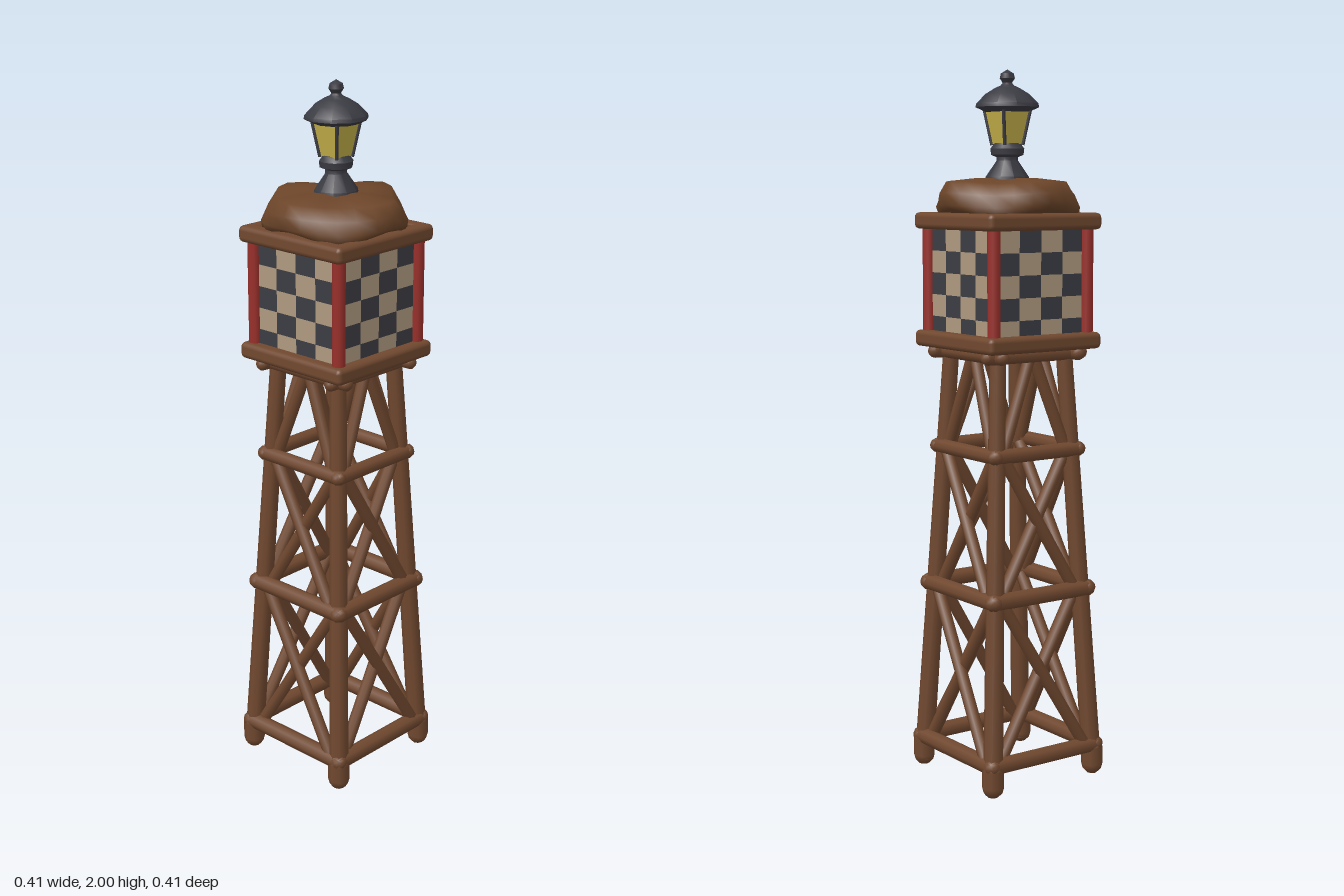
import * as THREE from 'three';
import { mergeVertices, toCreasedNormals } from 'three/addons/utils/BufferGeometryUtils.js';
import { RoundedBoxGeometry } from 'three/addons/geometries/RoundedBoxGeometry.js';

function material(name, color) {
  const m = new THREE.MeshStandardMaterial({ color });
  m.name = name;
  return m;
}

export function createModel() {
  const wood = material('timber brown', 0x70482f);
  const roofBrown = material('roof brown', 0x6c4529);
  const red = material('post red', 0x9a302b);
  const cream = material('checker cream', 0xb09a80);
  const dark = material('checker dark', 0x3c3d44);
  const iron = material('lamp iron', 0x3b3b43);
  const glass = material('lamp glass', 0xc4b04a);

  const tower = new THREE.Group();
  tower.name = 'lanternTower';

  function add(parent, name, geometry, mat, x = 0, y = 0, z = 0) {
    const mesh = new THREE.Mesh(geometry, mat);
    mesh.name = name;
    mesh.position.set(x, y, z);
    parent.add(mesh);
    return mesh;
  }

  // Round pole between two points, with optional taper
  function pole(parent, name, a, b, r0, r1, mat) {
    const from = new THREE.Vector3(...a), to = new THREE.Vector3(...b);
    const dir = to.clone().sub(from);
    const mesh = add(parent, name, new THREE.CylinderGeometry(r1, r0, dir.length(), 8), mat);
    mesh.position.copy(from).add(to).multiplyScalar(0.5);
    mesh.quaternion.setFromUnitVectors(new THREE.Vector3(0, 1, 0), dir.normalize());
    return mesh;
  }

  // Log with rounded ends lying along x
  function log(parent, name, half, r, y, z) {
    const mesh = add(parent, name, new THREE.CapsuleGeometry(r, 2 * half - 2 * r, 3, 8), wood, 0, y, z);
    mesh.rotation.z = Math.PI / 2;
  }

  // Turned part, faceted around and creased at sharp edges
  function turned(parent, name, profile, mat, sides = 10) {
    const points = profile.map(p => new THREE.Vector2(...p));
    return add(parent, name, toCreasedNormals(new THREE.LatheGeometry(points, sides), 0.7), mat);
  }

  const legOffset = y => 0.176 - 0.051 * y;

  // One side of the tower, repeated four times round the axis
  for (let i = 0; i < 4; i++) {
    const side = new THREE.Group();
    side.name = ['front', 'left', 'back', 'right'][i] + 'Side';
    side.rotation.y = i * Math.PI / 2;
    tower.add(side);

    // Corner leg and foot
    const b = legOffset(0.02), t = legOffset(1.25);
    pole(side, 'leg', [b, 0.02, b], [t, 1.25, t], 0.028, 0.023, wood);
    add(side, 'foot', new THREE.CapsuleGeometry(0.031, 0.05, 3, 8), wood, 0.175, 0.056, 0.175);

    // Horizontal logs
    log(side, 'lowerRail', 0.205, 0.024, 0.09, 0.18);
    log(side, 'middleRail', 0.188, 0.024, 0.55, 0.162);
    log(side, 'upperRail', 0.165, 0.021, 0.95, 0.142);
    log(side, 'platformJoist', 0.178, 0.02, 1.222, 0.13);

    // Crossed braces, then an inverted V at the top
    for (const [y0, y1] of [[0.1, 0.54], [0.56, 0.94]]) {
      const x0 = legOffset(y0) - 0.03, x1 = legOffset(y1) - 0.02;
      for (const s of [-1, 1]) {
        const off = s * 0.006;
        pole(side, 'crossBrace', [s * x0, y0, legOffset(y0) + off],
          [-s * x1, y1, legOffset(y1) + off], 0.018, 0.018, wood);
      }
    }
    for (const s of [-1, 1]) {
      pole(side, 'topBrace', [s * 0.105, 0.96, legOffset(0.96)],
        [s * 0.005, 1.22, legOffset(1.22)], 0.017, 0.017, wood);
    }

    // Cabin frame beams and corner post
    add(side, 'floorBeam', new RoundedBoxGeometry(0.38, 0.046, 0.046, 2, 0.014), wood, 0, 1.257, 0.167);
    add(side, 'eaveBeam', new RoundedBoxGeometry(0.38, 0.046, 0.046, 2, 0.014), wood, 0, 1.587, 0.167);
    pole(side, 'cornerPost', [0.158, 1.25, 0.158], [0.158, 1.59, 0.158], 0.018, 0.018, red);

    // Checkered wall: one plane whose cells alternate between two materials
    const wall = new THREE.PlaneGeometry(0.29, 0.305, 4, 5);
    for (let c = 0; c < 20; c++) {
      const odd = (c % 4 + Math.floor(c / 4) + i) % 2;
      wall.addGroup(c * 6, 6, odd);
    }
    add(side, 'checkerWall', wall, [dark, cream], 0, 1.4125, 0.158);
  }

  // Cabin floor and ceiling slabs
  add(tower, 'cabinFloor', new THREE.BoxGeometry(0.33, 0.03, 0.33), wood, 0, 1.255, 0);
  add(tower, 'ceiling', new THREE.BoxGeometry(0.35, 0.03, 0.35), roofBrown, 0, 1.59, 0);

  // Lumpy roof: round below, pulled in at the diagonals above, lifted over each wall
  const roofProfile = [[0, 1.595], [0.185, 1.6], [0.205, 1.632], [0.204, 1.665],
    [0.188, 1.697], [0.11, 1.704], [0, 1.706]];
  let roof = new THREE.LatheGeometry(roofProfile.map(p => new THREE.Vector2(...p)), 24);
  roof.deleteAttribute('uv');
  roof.deleteAttribute('normal');
  const pos = roof.attributes.position;
  for (let i = 0; i < pos.count; i++) {
    const x = pos.getX(i), y = pos.getY(i), z = pos.getZ(i);
    const angle = Math.atan2(z, x), r = Math.hypot(x, z);
    if (r < 0.01) continue;
    const diagonal = (1 - Math.cos(4 * angle)) / 2;
    const h = (y - 1.6) / 0.1;
    const k = 1 + diagonal * (0.06 - 0.27 * h) + 0.02 * Math.sin(3 * angle + 0.6);
    const lift = h < 0.2 ? 0.02 * (1 - diagonal) : -0.008 * diagonal;
    pos.setXYZ(i, x * k, y + lift, z * k);
  }
  roof = mergeVertices(roof, 1e-4);
  roof.computeVertexNormals();
  add(tower, 'roof', roof, roofBrown);

  // Lantern
  const lantern = new THREE.Group();
  lantern.name = 'lantern';
  tower.add(lantern);
  turned(lantern, 'lanternBase', [[0, 1.69], [0.062, 1.69], [0.06, 1.708], [0.03, 1.752], [0.03, 1.762],
    [0.045, 1.768], [0.047, 1.785], [0.036, 1.8], [0, 1.802]], iron);
  turned(lantern, 'lanternCap', [[0, 1.885], [0.06, 1.885], [0.088, 1.898], [0.086, 1.908], [0.06, 1.934],
    [0.034, 1.95], [0.018, 1.957], [0.013, 1.964], [0.021, 1.976], [0.018, 1.989], [0, 2]], iron);
  const pane = new THREE.CylinderGeometry(0.064, 0.044, 0.09, 4, 1, true).rotateY(Math.PI / 4);
  add(lantern, 'lanternGlass', toCreasedNormals(pane, 0.5), glass, 0, 1.843, 0);
  for (let i = 0; i < 4; i++) {
    const a = Math.PI / 4 + i * Math.PI / 2, c = Math.cos(a), s = Math.sin(a);
    pole(lantern, 'lanternStrut', [0.043 * c, 1.795, 0.043 * s], [0.064 * c, 1.89, 0.064 * s], 0.005, 0.005, iron);
  }
  return tower;
}
